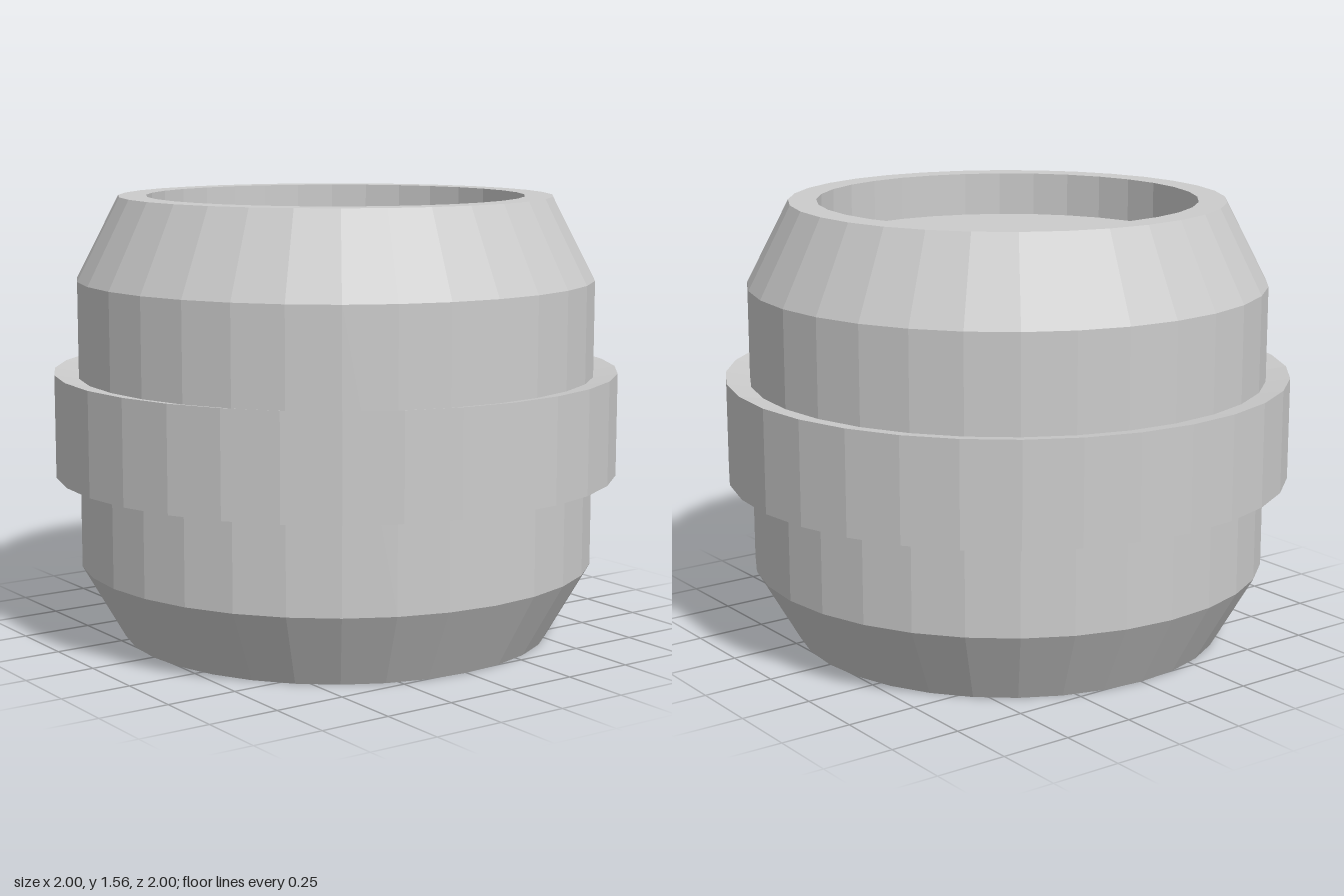
import * as THREE from 'three';

const SIDES = 32;

// Faceted solid of revolution from [radius, height] pairs, listed bottom to top
function turned(name, profile, material) {
  const points = profile.map(([r, y]) => new THREE.Vector2(r, y));
  const geometry = new THREE.LatheGeometry(points, SIDES).toNonIndexed();
  geometry.computeVertexNormals();
  const mesh = new THREE.Mesh(geometry, material);
  mesh.name = name;
  return mesh;
}

export function createModel() {
  const model = new THREE.Group();
  model.name = 'barrel';

  const grey = new THREE.MeshStandardMaterial({ color: 0xcccccc });
  grey.name = 'light grey';
  grey.flatShading = true;

  // Body with bevelled ends and a recessed lid
  model.add(turned('body', [
    [0, 0], [0.765, 0], [0.915, 0.263], [0.915, 1.27], [0.765, 1.56],
    [0.667, 1.56], [0.667, 1.405], [0, 1.405],
  ], grey));

  // Raised band whose top and bottom slope slightly towards the body
  model.add(turned('band', [
    [0.91, 0.6], [1, 0.585], [1, 0.947], [0.91, 0.932],
  ], grey));

  return model;
}
